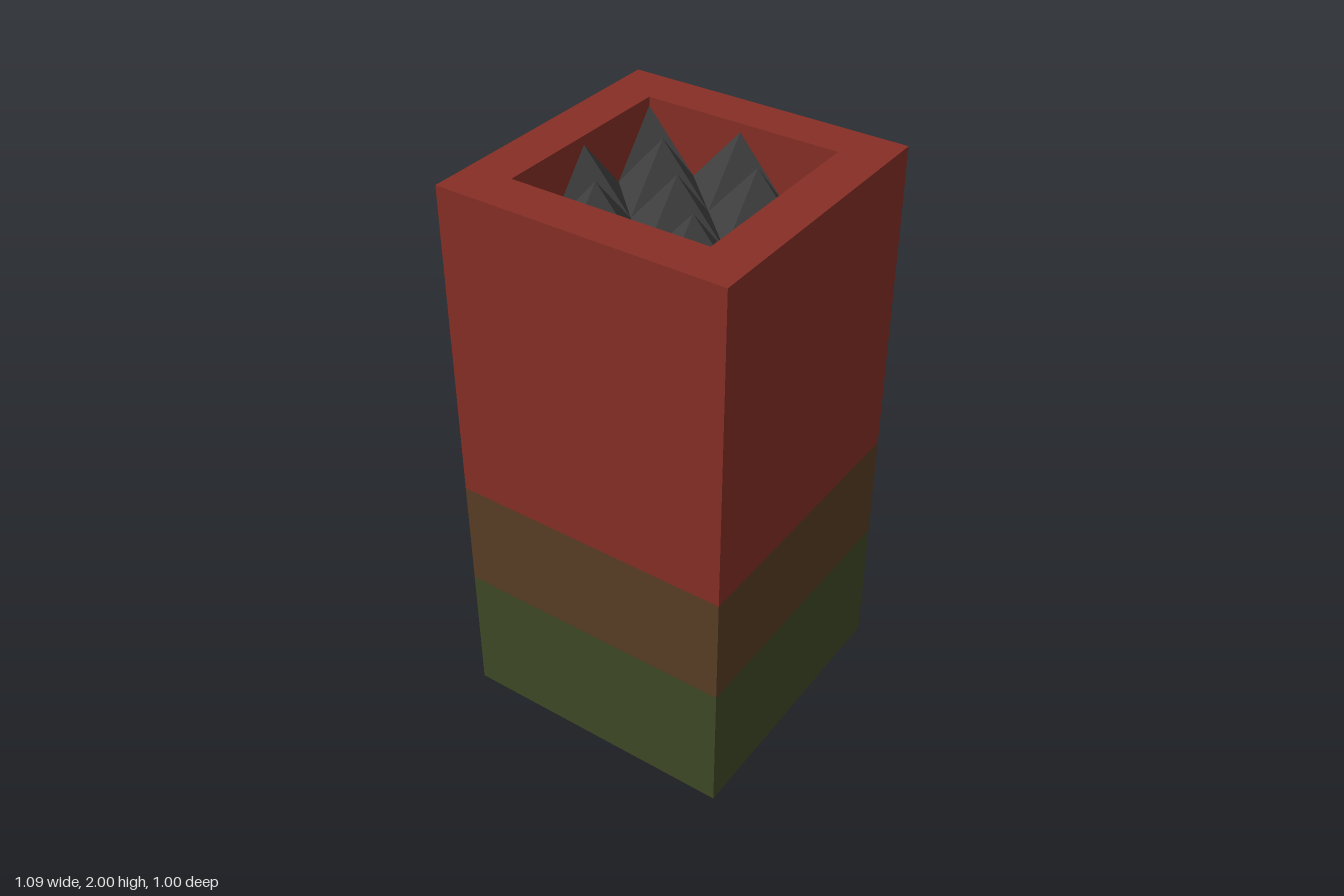
import * as THREE from 'three';

const mat = (name, color) => new THREE.MeshStandardMaterial({ name, color });

export function createModel() {
  const red = mat('brickRed', 0x872f25);
  const brown = mat('brown', 0x593d25);
  const green = mat('mossGreen', 0x3f4a25);
  const grey = mat('charcoal', 0x3f3f3f);

  const model = new THREE.Group();
  model.name = 'spikedPillar';
  const cx = 0.0425, half = 0.5025, cavity = 0.347;
  const greenTop = 0.485, brownTop = 0.88;

  // Box from its limits; sides take one colour, top and bottom stay red
  function block(name, side, x0, x1, y0, y1, zHalf) {
    const geo = new THREE.BoxGeometry(x1 - x0, y1 - y0, zHalf * 2);
    const mesh = new THREE.Mesh(geo, [side, side, red, red, side, side]);
    mesh.position.set((x0 + x1) / 2, (y0 + y1) / 2, 0);
    mesh.name = name;
    model.add(mesh);
  }

  // Column in three colour bands
  const x0 = cx - half, x1 = cx + half, rimBase = 1.7;
  block('lowerBand', green, x0, x1, 0, greenTop, half);
  block('middleBand', brown, x0, x1, greenTop, brownTop, half);
  block('upperBand', red, x0, x1, brownTop, rimBase, half);

  // Side plate, banded at the same level as the column
  block('sidePlateLower', green, -0.545, x0, 0.3, greenTop, 0.387);
  block('sidePlateUpper', brown, -0.545, x0, greenTop, 0.887, 0.387);

  // Square rim around the open top
  const square = (r) => [[-r, -r], [r, -r], [r, r], [-r, r]].map(([x, y]) => new THREE.Vector2(x, y));
  const shape = new THREE.Shape(square(half));
  shape.holes.push(new THREE.Path(square(cavity).reverse()));
  const rimGeo = new THREE.ExtrudeGeometry(shape, { depth: 2 - rimBase, bevelEnabled: false });
  rimGeo.rotateX(-Math.PI / 2);
  const rim = new THREE.Mesh(rimGeo, red);
  rim.position.set(cx, rimBase, 0);
  rim.name = 'rim';
  model.add(rim);

  // Spikes: a checkerboard of peaks and valleys filling the cavity
  const n = 4, step = (2 * cavity) / n, peak = 1.97, valley = 1.77;
  const points = [];
  const put = (...corners) => corners.forEach(([i, j]) => points.push(
    cx - cavity + i * step, (i + j) % 2 ? valley : peak, -cavity + j * step));
  for (let i = 0; i < n; i++) {
    for (let j = 0; j < n; j++) {
      const a = [i, j], b = [i, j + 1], c = [i + 1, j + 1], d = [i + 1, j];
      if ((i + j) % 2 === 0) put(a, b, d, b, c, d);
      else put(a, b, c, a, c, d);
    }
  }
  const spikeGeo = new THREE.BufferGeometry();
  spikeGeo.setAttribute('position', new THREE.Float32BufferAttribute(points, 3));
  spikeGeo.computeVertexNormals();
  const spikes = new THREE.Mesh(spikeGeo, grey);
  spikes.name = 'spikes';
  model.add(spikes);

  return model;
}
